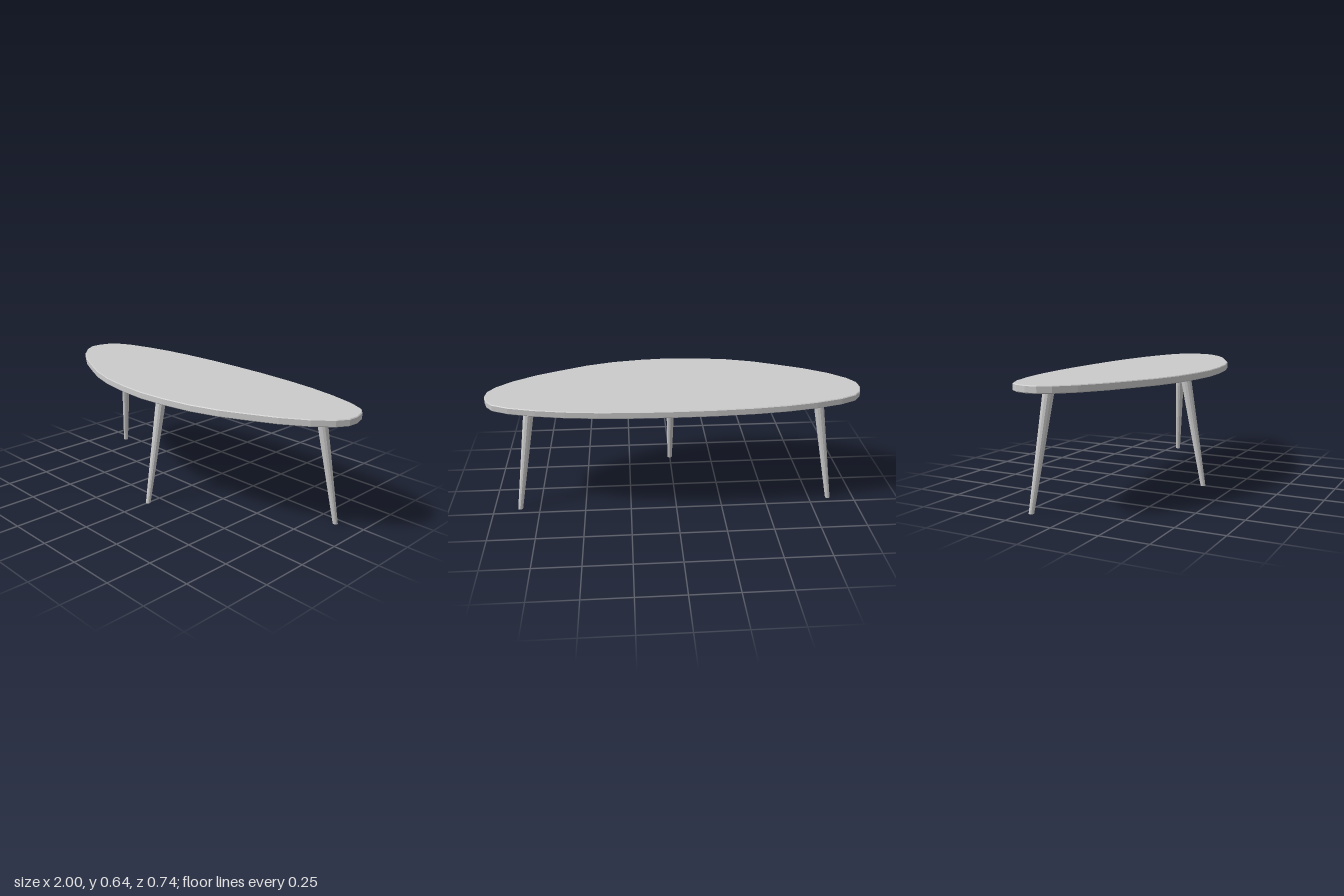
import * as THREE from 'three';

const material = new THREE.MeshStandardMaterial({ color: 0xcccccc, flatShading: true });

// Half outline of the top as [x, z], from back centre to front centre
const HALF_OUTLINE = [
  [0, -0.368], [0.19, -0.366], [0.4, -0.354], [0.57, -0.335], [0.72, -0.307], [0.86, -0.268],
  [0.945, -0.226], [0.98, -0.18], [0.998, -0.12], [0.995, -0.06], [0.96, 0], [0.875, 0.08],
  [0.75, 0.16], [0.62, 0.222], [0.48, 0.285], [0.33, 0.33], [0.16, 0.357], [0, 0.368],
];
const TOP_Y = 0.64;
const THICKNESS = 0.037;
const BEVEL = 0.004;

function createTop() {
  const mirrored = HALF_OUTLINE.slice(1, -1).reverse().map(([x, z]) => [-x, z]);
  const points = [...HALF_OUTLINE, ...mirrored].map(([x, z]) => new THREE.Vector2(x, z));
  const geometry = new THREE.ExtrudeGeometry(new THREE.Shape(points), {
    depth: THICKNESS - 2 * BEVEL,
    bevelSize: BEVEL, bevelThickness: BEVEL, bevelOffset: -BEVEL, bevelSegments: 1,
  });
  // Lay the slab flat, extruding downwards
  geometry.rotateX(Math.PI / 2);
  geometry.translate(0, TOP_Y - BEVEL, 0);
  const top = new THREE.Mesh(geometry, material);
  top.name = 'tableTop';
  return top;
}

// Tapered leg, slanted by shearing so both ends stay level
function createLeg(name, [topX, topZ], [footX, footZ]) {
  const height = TOP_Y - THICKNESS + 0.002;
  const geometry = new THREE.CylinderGeometry(0.029, 0.0135, height, 12);
  geometry.translate(0, height / 2, 0);
  const p = geometry.attributes.position;
  for (let i = 0; i < p.count; i++) {
    const t = p.getY(i) / height;
    p.setX(i, p.getX(i) + THREE.MathUtils.lerp(footX, topX, t));
    p.setZ(i, p.getZ(i) + THREE.MathUtils.lerp(footZ, topZ, t));
  }
  geometry.computeVertexNormals();
  const leg = new THREE.Mesh(geometry, material);
  leg.name = name;
  return leg;
}

export function createModel() {
  const table = new THREE.Group();
  table.name = 'table';
  table.add(createTop());
  table.add(createLeg('frontLeg', [0, 0.221], [0, 0.332]));
  for (const [name, s] of [['backLeftLeg', 1], ['backRightLeg', -1]]) {
    table.add(createLeg(name, [s * 0.764, -0.149], [s * 0.858, -0.204]));
  }
  return table;
}
